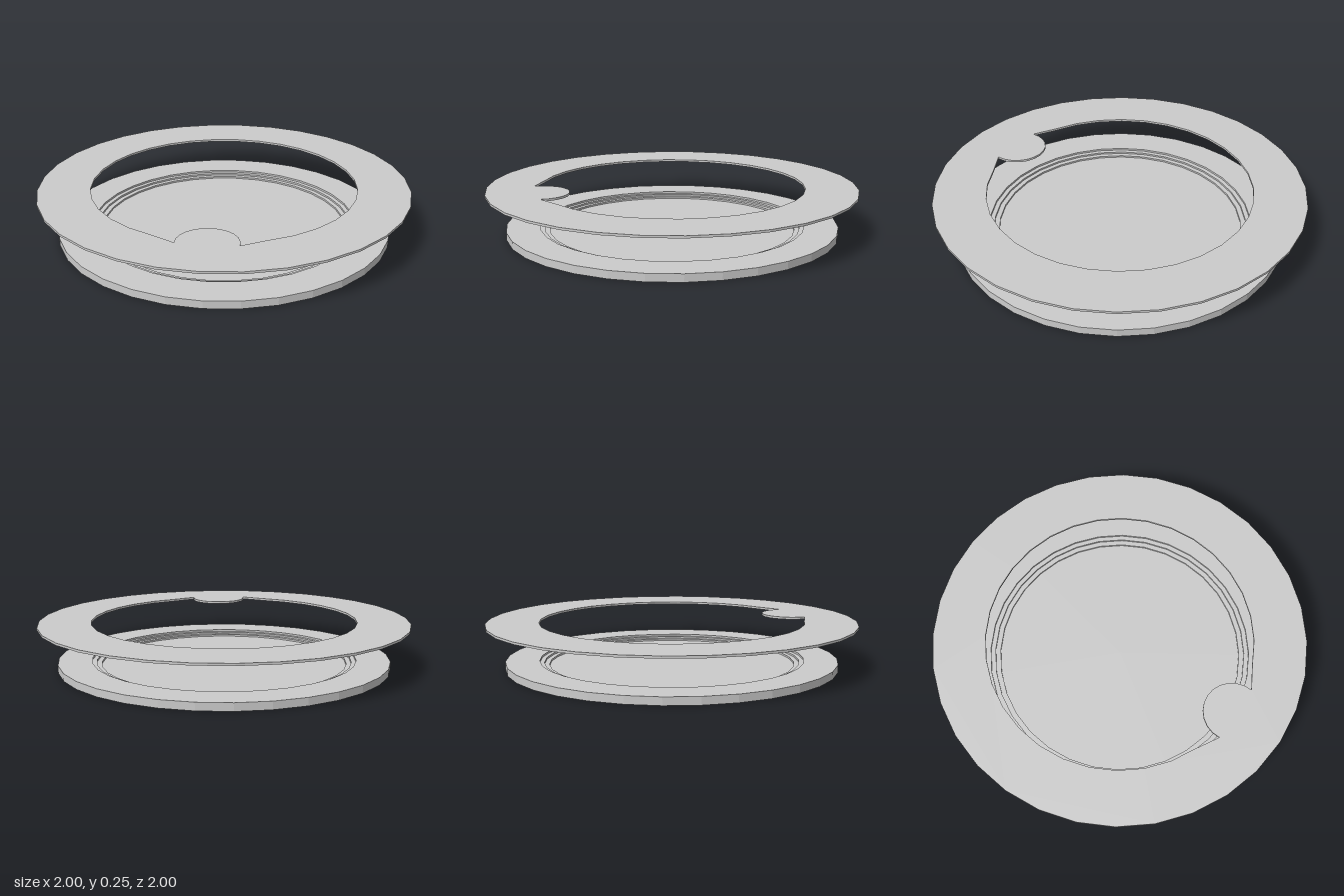
import * as THREE from 'three';

const SIDES = 32;
const material = new THREE.MeshStandardMaterial({ color: 0xcccccc, flatShading: true, side: THREE.DoubleSide });

// Point on a circle; angle 0 points to the front (+y of the shape becomes +z)
const polar = (r, a, cy = 0) => new THREE.Vector2(r * Math.sin(a), cy + r * Math.cos(a));

// Pressed sheet dish: outer skirt, flat flange, three small steps down to the floor
function makeDish() {
  const profile = [
    [0.9, 0], [0.9, 0.041], [0.718, 0.041], [0.718, 0.03],
    [0.693, 0.03], [0.693, 0.02], [0.666, 0.02], [0.666, 0.01], [0, 0.01],
  ].map(([r, y]) => new THREE.Vector2(r, y));
  const dish = new THREE.Mesh(new THREE.LatheGeometry(profile, SIDES), material);
  dish.name = 'steppedDish';
  return dish;
}

// Thin flat ring whose opening is interrupted by a rounded tab at the front
function makeRing() {
  const step = (Math.PI * 2) / SIDES;
  const outline = [];
  for (let i = 0; i < SIDES; i++) outline.push(polar(1, i * step));
  const opening = [];
  for (let i = 2; i <= SIDES - 2; i++) opening.push(polar(0.718, i * step));
  // Tab edge, swept from the left corner round to the right one
  const tabSides = 12, reach = THREE.MathUtils.degToRad(96);
  for (let i = 0; i <= tabSides; i++) {
    opening.push(polar(0.156, Math.PI + reach - (2 * reach * i) / tabSides, 0.716));
  }
  const shape = new THREE.Shape(outline);
  shape.holes.push(new THREE.Path(opening));
  const geometry = new THREE.ExtrudeGeometry(shape, { depth: 0.012, bevelEnabled: false });
  geometry.rotateX(Math.PI / 2).translate(0, 0.247, 0);
  const ring = new THREE.Mesh(geometry, material);
  ring.name = 'coverRingWithTab';
  return ring;
}

export function createModel() {
  const model = new THREE.Group();
  model.name = 'dishAndCoverRing';
  model.add(makeDish(), makeRing());
  return model;
}
